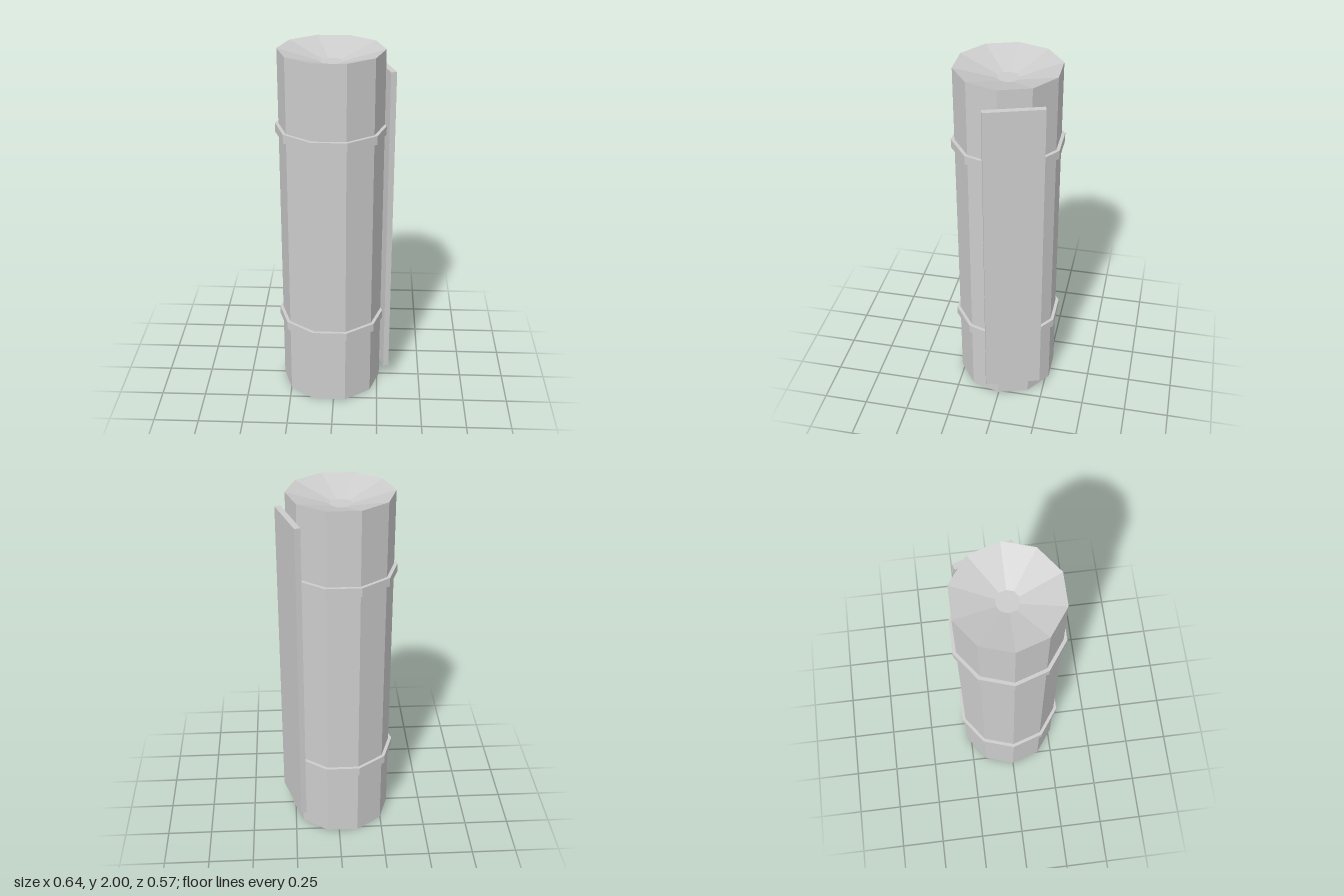
import * as THREE from 'three';

const SIDES = 10;
const AXIS_X = -0.02; // the plate sticks out on one side, so the log sits off centre
const RADIUS = 0.283;

// Faceted ten-sided lathe with a corner pointing to +x
function facetedLathe(profile) {
  const points = profile.map(([r, y]) => new THREE.Vector2(r, y));
  const geometry = new THREE.LatheGeometry(points, SIDES, Math.PI / 2).toNonIndexed();
  geometry.computeVertexNormals();
  return geometry;
}

export function createModel() {
  const group = new THREE.Group();
  const grey = new THREE.MeshStandardMaterial({ color: 0xcccccc });
  grey.name = 'light grey';

  const add = (name, geometry, x, y, z) => {
    const mesh = new THREE.Mesh(geometry, grey);
    mesh.name = name;
    mesh.position.set(x, y, z);
    group.add(mesh);
    return mesh;
  };

  // Column with dished ends
  const dish = 0.065;
  add('column', facetedLathe([
    [0, dish], [0.06, dish], [RADIUS, 0],
    [RADIUS, 2], [0.06, 2 - dish], [0, 2 - dish],
  ]), AXIS_X, 0, 0);

  // Two straps around the column
  const h = 0.024, outer = 0.302;
  const strap = facetedLathe([[RADIUS, -h], [outer, -h], [outer, h], [RADIUS, h]]);
  add('lowerStrap', strap, AXIS_X, 0.437, 0);
  add('upperStrap', strap, AXIS_X, 1.57, 0);

  // Flat plate lying against one facet
  const angle = Math.PI / SIDES, reach = 0.288;
  const plate = add('sidePlate', new THREE.BoxGeometry(0.032, 1.796, 0.315),
    AXIS_X + reach * Math.cos(angle), 1.002, -reach * Math.sin(angle) + 0.006);
  plate.rotation.y = angle;

  return group;
}
